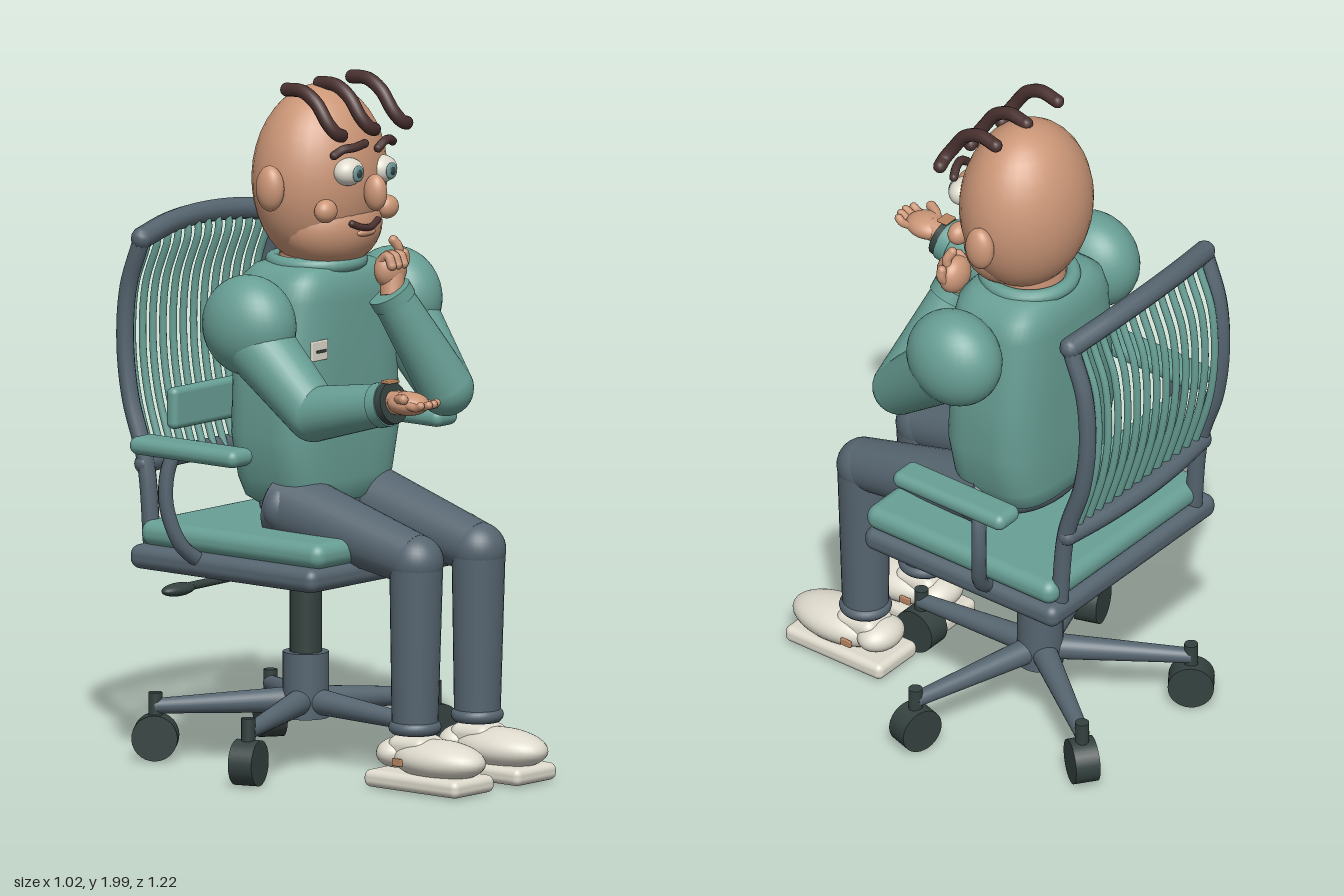
import * as THREE from 'three';
import { RoundedBoxGeometry } from 'three/addons/geometries/RoundedBoxGeometry.js';

const mat = (name, color) => {
  const m = new THREE.MeshStandardMaterial({ color });
  m.name = name;
  return m;
};
const V = (a) => new THREE.Vector3(...a);

export function createModel() {
  const teal = mat('teal', 0x689f95), slate = mat('slate', 0x566570), dark = mat('dark green grey', 0x34423f);
  const skin = mat('skin', 0xcb9677), brown = mat('dark brown', 0x4a3230), white = mat('off white', 0xdedacd);
  const iris = mat('iris', 0x6d9797), tan = mat('tan', 0xb98560);
  const model = new THREE.Group();
  model.name = 'seatedMan';
  let target = model;

  const group = (name) => {
    target = new THREE.Group();
    target.name = name;
    model.add(target);
  };
  const add = (name, geo, m, pos = [0, 0, 0]) => {
    const mesh = new THREE.Mesh(geo, m);
    mesh.name = name;
    mesh.position.set(...pos);
    target.add(mesh);
    return mesh;
  };
  const ball = (name, m, pos, r) => {
    const mesh = add(name, new THREE.SphereGeometry(1, 32, 20), m, pos);
    mesh.scale.set(...(Array.isArray(r) ? r : [r, r, r]));
    return mesh;
  };
  const box = (name, m, pos, s, r) => add(name, new RoundedBoxGeometry(...s, 4, r), m, pos);
  // Tapered cylinder from point a to point b
  const limb = (name, m, a, b, r1, r2) => {
    const d = V(b).sub(V(a));
    const mesh = add(name, new THREE.CylinderGeometry(r2, r1, d.length(), 28), m);
    mesh.position.copy(V(a)).addScaledVector(d, 0.5);
    mesh.quaternion.setFromUnitVectors(new THREE.Vector3(0, 1, 0), d.normalize());
    return mesh;
  };
  // Tube through points with rounded ends
  const tube = (name, m, pts, r, seg = 24) => {
    add(name, new THREE.TubeGeometry(new THREE.CatmullRomCurve3(pts.map(V)), seg, r, 10), m);
    for (const p of [pts[0], pts[pts.length - 1]])
      add(name + 'End', new THREE.SphereGeometry(r, 10, 8), m, p);
  };

  // ---- Chair ----
  const cx = 0.01, cz = -0.18;
  group('chairSeat');
  box('seatShell', slate, [cx, 0.605, -0.178], [0.765, 0.07, 0.695], 0.03);
  box('seatCushion', teal, [cx + 0.008, 0.672, -0.168], [0.73, 0.075, 0.68], 0.035);

  group('chairBase');
  limb('gasColumn', dark, [cx, 0.2, cz], [cx, 0.58, cz], 0.046, 0.046);
  limb('hub', slate, [cx, 0.13, cz], [cx, 0.32, cz], 0.066, 0.066);
  for (let i = 0; i < 5; i++) {
    const a = (i * Math.PI * 2) / 5, s = Math.sin(a), c = Math.cos(a);
    const at = (r, y) => [cx + s * r, y, cz + c * r];
    limb('spoke', slate, at(0.03, 0.18), at(0.43, 0.155), 0.038, 0.022);
    limb('casterStem', dark, at(0.43, 0.1), at(0.43, 0.195), 0.02, 0.02);
    const [x, y, z] = at(0.43, 0.066);
    const t = 0.036;
    limb('casterWheel', dark, [x - c * t, y, z + s * t], [x + c * t, y, z - s * t], 0.066, 0.066);
  }
  limb('leverRod', dark, [-0.1, 0.555, -0.265], [-0.42, 0.55, -0.27], 0.012, 0.012);
  ball('leverPaddle', dark, [-0.445, 0.548, -0.27], [0.065, 0.019, 0.03]);

  // Back frame, rails and slats follow one shared curve in y and z
  group('chairBack');
  const post = [[0.61, -0.49], [0.87, -0.515], [1.05, -0.572], [1.21, -0.592], [1.37, -0.58], [1.5, -0.535]];
  for (const side of [-1, 1])
    tube('backPost', slate, post.map(([y, z]) => [cx + side * 0.31, y, z]), 0.026, 40);
  const xs = [-1, -0.5, 0, 0.5, 1];
  tube('topRail', slate, xs.map((u) => [cx + u * 0.31, 1.545 - 0.03 * u * u, -0.565 + 0.035 * u * u]), 0.032);
  tube('bottomRail', slate, xs.map((u) => [cx + u * 0.31, 0.865, -0.545 + 0.025 * u * u]), 0.03);
  for (let i = 0; i < 13; i++) {
    const x = cx + (i - 6) * 0.0448;
    const pts = post.slice(1).map(([y, z]) => [x, y, z - 0.008]);
    pts.push([x, 1.535, -0.55]);
    tube('slat', teal, pts, 0.011);
  }
  box('lumbarPad', teal, [cx, 1.01, -0.51], [0.42, 0.12, 0.04], 0.018);

  group('armrests');
  for (const side of [-1, 1]) {
    const p = [[0.35, 0.61, -0.27], [0.42, 0.67, -0.29], [0.455, 0.78, -0.313], [0.455, 0.87, -0.313], [0.44, 0.94, -0.3]];
    tube('armSupport', slate, p.map(([x, y, z]) => [cx + side * x, y, z]), 0.022);
    box('armPad', teal, [cx + side * 0.45, 0.952, -0.226], [0.1, 0.052, 0.4], 0.025);
  }

  // ---- Torso: rounded-square cross-sections [y, half width, half depth] ----
  group('torso');
  const rings = [[0.765, 0.001, 0.001], [0.765, 0.17, 0.12], [0.785, 0.2, 0.145], [0.84, 0.225, 0.157], [0.97, 0.257, 0.16],
    [1.15, 0.25, 0.16], [1.36, 0.23, 0.16], [1.42, 0.21, 0.15], [1.45, 0.17, 0.125], [1.46, 0.12, 0.09], [1.46, 0.001, 0.001]];
  const n = 48, pos = [], idx = [];
  const se = (v) => Math.sign(v) * Math.pow(Math.abs(v), 0.55);
  rings.forEach(([y, w, d], r) => {
    for (let i = 0; i < n; i++) {
      const a = (i / n) * Math.PI * 2;
      pos.push(0.022 + w * se(Math.sin(a)), y, -0.155 + d * se(Math.cos(a)));
      if (r === 0) continue;
      const j = (i + 1) % n, lo = (r - 1) * n, hi = r * n;
      idx.push(lo + i, lo + j, hi + j, lo + i, hi + j, hi + i);
    }
  });
  const tg = new THREE.BufferGeometry();
  tg.setAttribute('position', new THREE.Float32BufferAttribute(pos, 3));
  tg.setIndex(idx);
  tg.computeVertexNormals();
  add('shirt', tg, teal);
  const collar = add('collar', new THREE.TorusGeometry(0.125, 0.022, 12, 36), teal, [0.022, 1.455, -0.15]);
  collar.rotation.x = Math.PI / 2;
  limb('neck', skin, [0.022, 1.4, -0.15], [0.022, 1.55, -0.14], 0.11, 0.11);
  box('badge', white, [-0.148, 1.23, 0.005], [0.072, 0.058, 0.009], 0.004);
  box('badgeLine', dark, [-0.145, 1.228, 0.011], [0.04, 0.008, 0.004], 0.001);

  // ---- Head ----
  group('head');
  ball('skull', skin, [0.027, 1.7, -0.143], [0.212, 0.263, 0.18]).rotation.z = -0.05;
  ball('jaw', skin, [0.025, 1.563, -0.103], [0.168, 0.127, 0.136]);
  ball('rightEar', skin, [-0.2, 1.69, -0.135], [0.034, 0.066, 0.045]);
  ball('leftEar', skin, [0.25, 1.66, -0.148], [0.034, 0.066, 0.045]);
  ball('nose', skin, [0.032, 1.67, 0.062], [0.03, 0.053, 0.036]);
  ball('rightCheek', skin, [-0.11, 1.627, -0.003], [0.037, 0.034, 0.03]);
  ball('leftCheek', skin, [0.16, 1.605, -0.003], [0.037, 0.034, 0.03]);
  [[-0.04, 1.735, 0.022], [0.118, 1.722, 0.012]].forEach(([x, y, z]) => {
    ball('eye', white, [x, y, z], [0.05, 0.04, 0.04]);
    ball('iris', iris, [x, y - 0.002, z + 0.037], [0.023, 0.024, 0.007]);
    ball('pupil', dark, [x, y - 0.002, z + 0.042], [0.011, 0.012, 0.005]);
  });
  tube('rightBrow', brown, [[-0.09, 1.787, 0.012], [-0.07, 1.803, 0.028], [-0.035, 1.806, 0.04], [0.01, 1.812, 0.04]], 0.013);
  tube('leftBrow', brown, [[0.075, 1.79, 0.036], [0.1, 1.806, 0.036], [0.135, 1.807, 0.026], [0.168, 1.795, 0.01]], 0.013);
  tube('mouth', brown, [[-0.03, 1.583, 0.027], [0, 1.571, 0.035], [0.04, 1.566, 0.036], [0.085, 1.58, 0.026]], 0.01);
  ball('lowerLip', skin, [0.03, 1.552, 0.028], [0.04, 0.012, 0.014]);
  for (const x of [-0.12, 0.024, 0.166])
    tube('hairLock', brown, [[x, 1.965, -0.14], [x - 0.008, 1.968, -0.075], [x - 0.012, 1.94, -0.02],
      [x - 0.008, 1.885, 0.02], [x + 0.012, 1.855, 0.035], [x + 0.04, 1.845, 0.03]], 0.02, 32);

  // ---- Arms ----
  group('rightArm');
  ball('shoulder', teal, [-0.315, 1.312, -0.115], [0.115, 0.145, 0.148]);
  limb('upperArm', teal, [-0.315, 1.26, -0.08], [-0.325, 1.085, 0.135], 0.1, 0.08);
  ball('elbow', teal, [-0.325, 1.085, 0.135], 0.08);
  limb('forearm', teal, [-0.325, 1.085, 0.135], [-0.33, 1.145, 0.41], 0.08, 0.06);
  limb('cuff', teal, [-0.33, 1.139, 0.385], [-0.33, 1.147, 0.42], 0.065, 0.065);
  limb('cuffOpening', dark, [-0.33, 1.145, 0.41], [-0.33, 1.152, 0.44], 0.062, 0.06);
  limb('wrist', skin, [-0.33, 1.15, 0.41], [-0.335, 1.157, 0.48], 0.032, 0.036);
  box('wristPlate', tan, [-0.33, 1.212, 0.425], [0.045, 0.008, 0.035], 0.003);
  ball('palm', skin, [-0.338, 1.158, 0.5], [0.054, 0.034, 0.065]);
  for (let i = 0; i < 4; i++) {
    const x = -0.375 + i * 0.024;
    const tip = 0.595 - Math.abs(i - 1.4) * 0.01;
    tube('finger', skin, [[x, 1.16, 0.53], [x - 0.002, 1.157, 0.565], [x - 0.004, 1.165, tip]], 0.012, 8);
  }
  tube('thumb', skin, [[-0.36, 1.17, 0.48], [-0.385, 1.178, 0.51], [-0.395, 1.18, 0.53]], 0.015, 8);

  group('leftArm');
  ball('shoulder', teal, [0.325, 1.312, -0.115], [0.118, 0.145, 0.148]);
  limb('upperArm', teal, [0.325, 1.26, -0.08], [0.268, 1.08, 0.125], 0.1, 0.08);
  ball('elbow', teal, [0.268, 1.08, 0.125], 0.08);
  limb('forearm', teal, [0.268, 1.08, 0.125], [0.115, 1.36, 0.05], 0.08, 0.06);
  limb('cuff', teal, [0.126, 1.342, 0.055], [0.11, 1.372, 0.047], 0.065, 0.065);
  limb('wrist', skin, [0.12, 1.36, 0.05], [0.13, 1.42, 0.04], 0.034, 0.036);
  ball('palm', skin, [0.13, 1.432, 0.035], [0.056, 0.056, 0.04]);
  for (let i = 0; i < 3; i++) {
    const x = 0.095 + i * 0.026;
    tube('curledFinger', skin, [[x, 1.455, 0.025], [x, 1.478, 0.055], [x, 1.45, 0.07]], 0.014, 8);
  }
  tube('indexFinger', skin, [[0.15, 1.45, 0.035], [0.155, 1.49, 0.045], [0.142, 1.515, 0.035]], 0.014, 8);
  tube('thumb', skin, [[0.165, 1.42, 0.035], [0.187, 1.45, 0.04], [0.185, 1.472, 0.04]], 0.014, 8);

  // ---- Legs and shoes ----
  group('legs');
  ball('pelvis', slate, [0.02, 0.765, -0.15], [0.2, 0.075, 0.13]);
  for (const [name, x, hip] of [['right', -0.127, -0.128], ['left', 0.147, 0.165]]) {
    limb(name + 'Thigh', slate, [hip, 0.77, -0.14], [x, 0.66, 0.345], 0.105, 0.076);
    ball(name + 'Hip', slate, [hip, 0.765, -0.11], [0.112, 0.09, 0.07]);
    ball(name + 'Knee', slate, [x, 0.655, 0.35], 0.079);
    limb(name + 'Shin', slate, [x, 0.16, 0.345], [x, 0.655, 0.35], 0.066, 0.077);
    const hem = add(name + 'Hem', new THREE.TorusGeometry(0.056, 0.02, 12, 32), slate, [x, 0.178, 0.345]);
    hem.rotation.x = Math.PI / 2;
    box(name + 'Sole', white, [x, 0.028, 0.398], [0.18, 0.05, 0.35], 0.02);
    ball(name + 'ShoeUpper', white, [x, 0.092, 0.435], [0.092, 0.058, 0.158]);
    ball(name + 'ShoeHeel', white, [x, 0.1, 0.29], [0.08, 0.045, 0.06]);
    box(name + 'ShoeTongue', white, [x, 0.12, 0.35], [0.12, 0.07, 0.14], 0.03);
    for (const s of [-1, 1])
      box(name + 'ShoeTab', tan, [x + s * 0.084, 0.086, 0.35], [0.009, 0.022, 0.036], 0.003);
  }
  return model;
}
